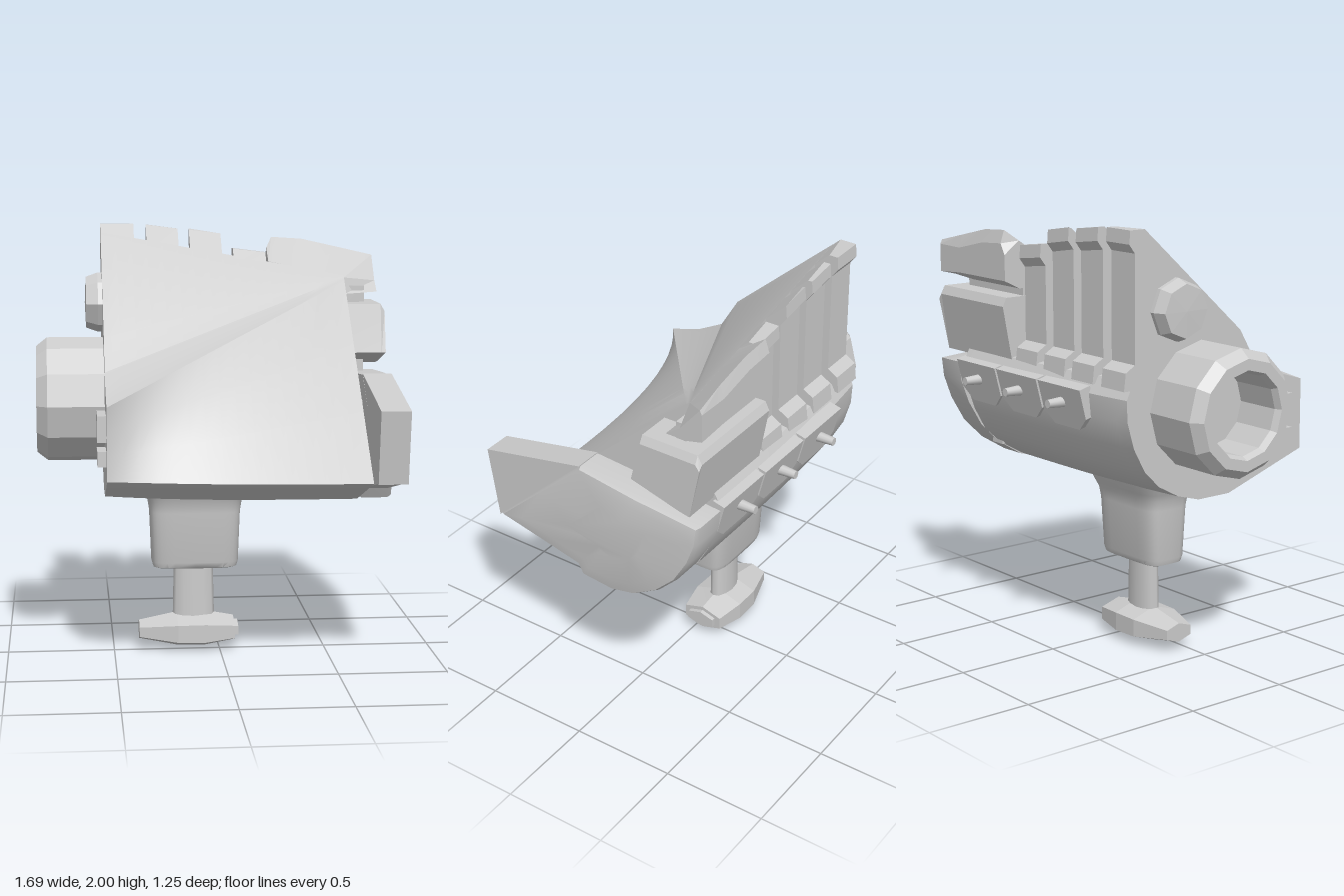
import * as THREE from 'three';
import { toCreasedNormals } from 'three/addons/utils/BufferGeometryUtils.js';

const mat = new THREE.MeshStandardMaterial({ color: 0xcccccc });
const flat = new THREE.MeshStandardMaterial({ color: 0xcccccc, flatShading: true, side: THREE.DoubleSide });
const lerp = THREE.MathUtils.lerp;

// Skin closed rings of [x, y, z] points and cap both ends; axis is the one the rings are stacked on
function loft(rings, axis, crease = 0.5) {
  const n = rings[0].length, idx = [], P = rings.flat();
  for (let r = 0; r < rings.length - 1; r++)
    for (let i = 0; i < n; i++) {
      const a = r * n + i, b = r * n + (i + 1) % n;
      idx.push(a, b, b + n, a, b + n, a + n);
    }
  const [u, v] = [[1, 2], [2, 0], [0, 1]][axis];
  const cap = (start, flip) => {
    const pts = P.slice(start, start + n).map(p => new THREE.Vector2(p[u], p[v]));
    const sign = Math.sign(THREE.ShapeUtils.area(pts));
    for (const [a, b, c] of THREE.ShapeUtils.triangulateShape(pts, [])) {
      const same = THREE.ShapeUtils.area([pts[a], pts[b], pts[c]]) * sign > 0;
      if (same !== flip) idx.push(start + a, start + b, start + c);
      else idx.push(start + a, start + c, start + b);
    }
  };
  cap(0, true);
  cap(P.length - n, false);
  // Turn the faces outwards
  let vol = 0;
  const V = P.map(p => new THREE.Vector3(...p));
  for (let i = 0; i < idx.length; i += 3)
    vol += V[idx[i]].dot(V[idx[i + 1]].clone().cross(V[idx[i + 2]]));
  if (vol < 0) idx.reverse();
  const g = new THREE.BufferGeometry();
  g.setAttribute('position', new THREE.Float32BufferAttribute(P.flat(), 3));
  g.setIndex(idx);
  return toCreasedNormals(g, crease);
}

const atX = (x, zy) => zy.map(([z, y]) => [x, y, z]);

// Rounded rectangle lying flat at height y
function roundRing(y, hx, hz, cx, cz, n = 32) {
  const p = [], bend = t => Math.sign(t) * Math.abs(t) ** 0.45;
  for (let i = 0; i < n; i++) {
    const a = (i / n) * Math.PI * 2;
    p.push([cx + hx * bend(Math.cos(a)), y, cz + hz * bend(Math.sin(a))]);
  }
  return p;
}

// Height of the sloping front panel at x, z
function panelY(x, z) {
  const u = (x + 0.54) / 1.18;
  const z0 = lerp(0.16, -0.39, u), y0 = lerp(1.51, 1.75, u);
  const z1 = lerp(-0.39, -0.53, u), y1 = lerp(2.0, 1.88, u);
  return y0 + (z - z0) * (y1 - y0) / (z1 - z0);
}

export function createModel() {
  const model = new THREE.Group();
  const add = (name, geo, m = mat, pos = [0, 0, 0]) => {
    const mesh = new THREE.Mesh(geo, m);
    mesh.name = name;
    mesh.position.set(...pos);
    model.add(mesh);
    return mesh;
  };
  const box = (name, x0, x1, y0, y1, z0, z1) =>
    add(name, new THREE.BoxGeometry(x1 - x0, y1 - y0, z1 - z0), mat,
      [(x0 + x1) / 2, (y0 + y1) / 2, (z0 + z1) / 2]);

  // Main body: the end profiles [z, y] are blended, which twists the front
  const left = [[0.54, 0.91], [0.54, 1.02], [0.54, 1.13], [0.54, 1.24], [0.38, 1.29], [0.25, 1.36], [0.16, 1.51],
    [-0.35, 1.964], [-0.37, 1.36], [-0.45, 1.35], [-0.49, 1.27], [-0.485, 1.17], [-0.45, 1.05],
    [-0.39, 0.94], [-0.31, 0.86], [-0.2, 0.8], [-0.08, 0.765], [0.1, 0.765]];
  const right = [[0.57, 0.89], [0.26, 1.168], [-0.05, 1.446], [-0.36, 1.724], [-0.367, 1.73], [-0.374, 1.736], [-0.382, 1.743],
    [-0.39, 1.75], [-0.4, 1.35], [-0.5, 1.34], [-0.54, 1.27], [-0.525, 1.17], [-0.48, 1.04],
    [-0.42, 0.93], [-0.33, 0.85], [-0.21, 0.78], [-0.08, 0.735], [0.1, 0.735]];
  const rings = [];
  for (let k = 0; k <= 16; k++) {
    const u = k / 16, swell = Math.sin(u * Math.PI) * 0.035, back = 1 - (1 - u) ** 3;
    rings.push(atX(-0.54 + 1.18 * u, left.map(([z, y], i) => {
      const r = right[i], t = i > 8 ? back : u;
      return [lerp(z, r[0], t) + (i < 4 ? swell * (1 - i / 3) : 0), lerp(y, r[1], t)];
    })));
  }
  add('body', loft(rings, 0, 0.45));

  // Upright slats across the back, each with a foot block
  [[-0.54, -0.38, 2.0, 2.0], [-0.32, -0.165, 1.995, 1.975], [-0.11, 0.045, 1.975, 1.95], [0.1, 0.26, 1.88, 1.86]]
    .forEach(([x0, x1, t0, t1]) => {
      const section = (x, top) => {
        const zTop = Math.max(-0.455, -0.36 - Math.max(0, top - panelY(x, -0.36)) / 0.89);
        return atX(x, [[-0.3, 1.35], [-0.3, panelY(x, -0.3) - 0.004], [zTop, Math.min(top, panelY(x, zTop))],
          [-0.47, top], [-0.475, top - 0.06], [-0.445, top - 0.1], [-0.445, 1.42], [-0.495, 1.39], [-0.505, 1.31], [-0.4, 1.31]]);
      };
      add('slat', loft([section(x0, t0), section(x1, t1)], 0, 0.2));
    });

  // Upper corner block continuing the front panel
  const upper = (x, top, zt) => atX(x, [[-0.36, 1.66], [-0.38, panelY(x, -0.38) - 0.002],
    [zt, top], [-0.55, top - 0.06], [-0.55, 1.7], [-0.47, 1.66]]);
  add('upperBlock', loft([upper(0.27, 1.88, -0.47), upper(0.3, 1.93, -0.53), upper(0.45, 1.92, -0.53), upper(0.64, 1.877, -0.53),
    atX(0.8, [[-0.37, 1.67], [-0.44, 1.72], [-0.54, 1.84], [-0.55, 1.82], [-0.55, 1.69], [-0.47, 1.67]])], 0, 0.15));

  // Lower corner block
  const lower = [[-0.2, 1.39], [-0.25, 1.62], [-0.53, 1.62], [-0.55, 1.58], [-0.5, 1.31], [-0.45, 1.32]];
  add('lowerBlock', loft([atX(0.29, lower), atX(0.8, lower), atX(0.82, lower.map(([z, y]) => [z, y - (y > 1.5 ? 0.3 * (y - 1.5) : 0)]))], 0, 0.1));
  box('blockSpacer', 0.3, 0.74, 1.26, 1.7, -0.43, -0.38);

  // Bulging side cover
  const rim = [[0.57, 0.89], [0.35, 0.84], [0.13, 0.79], [0.1, 0.74], [-0.07, 0.735], [-0.2, 0.77], [-0.33, 0.85],
    [-0.43, 0.95], [-0.5, 1.07], [-0.54, 1.18], [-0.55, 1.27], [-0.22, 1.295], [0.1, 1.32], [0.33, 1.11]];
  const coverX = z => 0.8 + 0.03 * THREE.MathUtils.smoothstep(-z, -0.2, 0.4);
  const coverRing = (s, dx) => rim.map(([z, y]) => {
    const Z = -0.1 + (z + 0.1) * s;
    return [coverX(z) + dx, 1.06 + (y - 1.06) * s, Z];
  });
  add('sideCover', loft([atX(0.66, rim), coverRing(1, -0.02), coverRing(0.97, -0.002), coverRing(0.8, 0.008), coverRing(0.4, 0.012)], 0, 0.7));
  // Wedge on the front of the cover
  const wedge = [[0.62, 1.22], [0.1, 1.325], [0.57, 0.885]];
  add('coverWedge', loft([atX(0.66, wedge), atX(0.795, wedge)], 0, 0.1));
  box('coverHub', 0.6, 0.68, 0.85, 1.2, -0.35, 0.1);

  // Hollow barrel on the right side
  const lathe = (name, pts, seg, pos) => {
    const m = add(name, new THREE.LatheGeometry(pts.map(p => new THREE.Vector2(...p)), seg), flat, pos);
    m.rotation.z = Math.PI / 2;
  };
  lathe('barrel', [[0.29, 0.5], [0.29, 0.8], [0.25, 0.85], [0.2, 0.85], [0.185, 0.82], [0.185, 0.6], [0, 0.6]], 12, [0, 1.2, -0.07]);
  lathe('knob', [[0.14, 0.5], [0.14, 0.56], [0.12, 0.615], [0, 0.62]], 8, [0, 1.64, -0.22]);
  box('upperLug', -0.58, -0.5, 1.07, 1.19, 0.26, 0.45);
  box('lowerLug', -0.58, -0.5, 0.96, 1.03, 0.31, 0.45);

  // Back pads with tapered pins
  const shield = new THREE.Shape([[-0.155, 0.08], [-0.155, -0.06], [-0.09, -0.12], [0.09, -0.12], [0.155, -0.06], [0.155, 0.08]]
    .map(p => new THREE.Vector2(...p)));
  [-0.15, 0.175, 0.5].forEach(x => {
    const pad = add('backPad', new THREE.ExtrudeGeometry(shield, { depth: 0.06, bevelEnabled: false }), mat, [x, 1.21, -0.546]);
    pad.rotation.x = -0.25;
    const pin = add('pin', new THREE.CylinderGeometry(0.019, 0.027, 0.12, 12), mat, [x, 1.21, -0.565]);
    pin.rotation.x = -Math.PI / 2;
  });

  // Flared socket under the body, open at the bottom
  add('socket', loft([[0.82, 0.27, 0.17], [0.75, 0.235, 0.145], [0.72, 0.222, 0.13], [0.67, 0.214, 0.122], [0.43, 0.205, 0.108],
    [0.405, 0.198, 0.1], [0.4, 0.185, 0.09], [0.4, 0.165, 0.075], [0.48, 0.16, 0.07]]
    .map(([y, hx, hz]) => roundRing(y, hx, hz, -0.115, -0.055)), 1, 0.8));

  // Stem
  const stem = add('stem', new THREE.CylinderGeometry(0.09, 0.1, 0.42, 12), mat, [-0.12, 0.33, -0.055]);
  stem.scale.z = 0.47;

  // Six-sided foot with a small end nub
  const hex = (x, hy, hz, cy = 0.09) => atX(x, [[hz, 0], [hz * 0.1, hy], [-hz, 0], [-hz * 0.1, -hy]].length
    && [[hz, hy * 0.5], [0, hy], [-hz, hy * 0.5], [-hz, -hy * 0.5], [0, -hy], [hz, -hy * 0.5]]
      .map(([z, y]) => [z - 0.055, cy + y]));
  add('foot', loft([hex(-0.38, 0.045, 0.07), hex(-0.2, 0.082, 0.125), hex(-0.07, 0.086, 0.127), hex(0.07, 0.06, 0.1)], 0, 0.12));
  add('footNub', loft([hex(0.05, 0.042, 0.07), hex(0.09, 0.04, 0.07)], 0, 0.2));

  return model;
}
